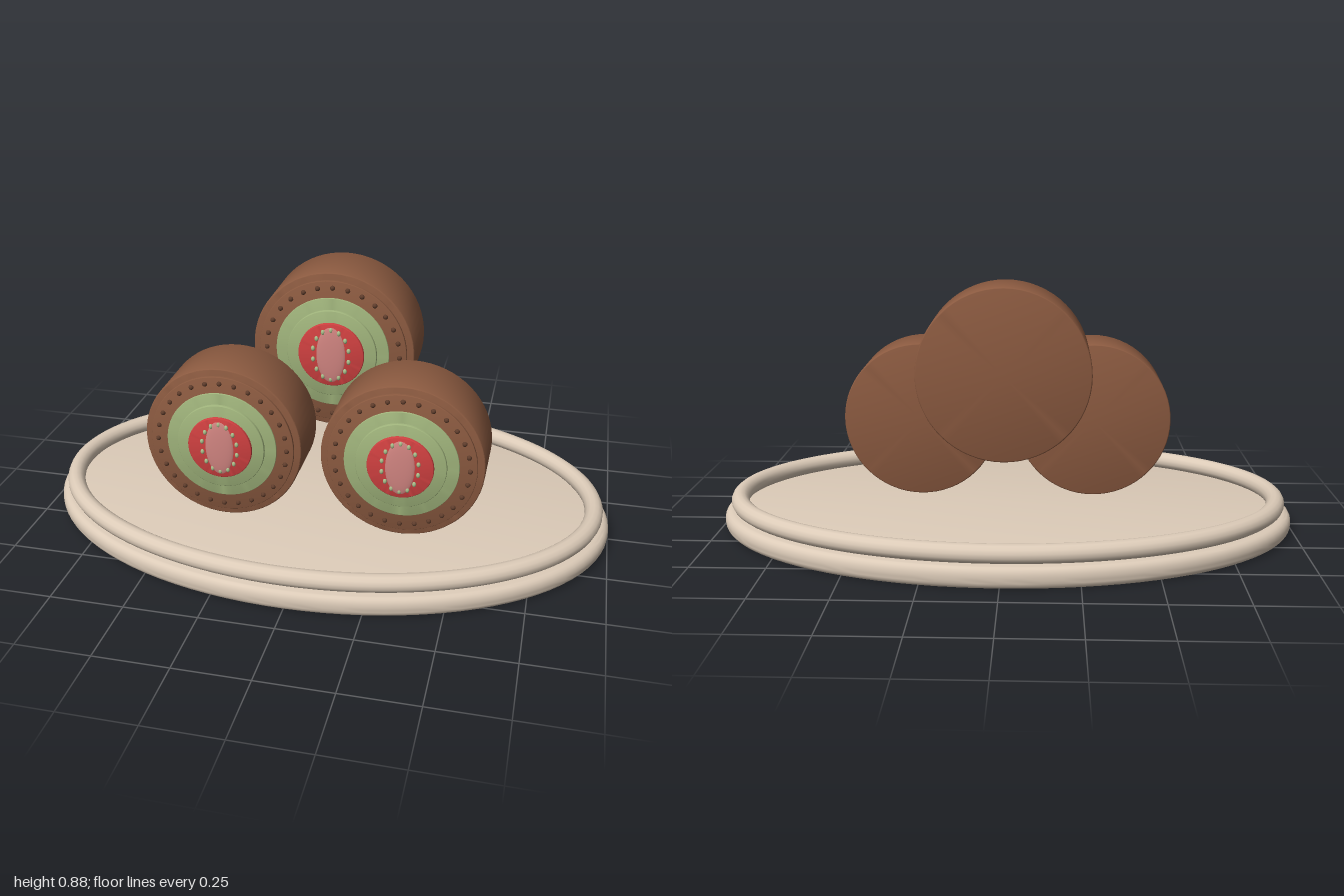
import * as THREE from 'three';
import { toCreasedNormals } from 'three/addons/utils/BufferGeometryUtils.js';

const mat = (name, color) => {
  const m = new THREE.MeshStandardMaterial({ color });
  m.name = name;
  return m;
};

export function createModel() {
  const model = new THREE.Group();
  const cream = mat('cream ceramic', 0xdccbb8);
  const brown = mat('brown wrap', 0x8b5a40);
  const darkBrown = mat('dark brown dots', 0x5f3d2c);
  const green = mat('soft green', 0x9fb37b);
  const red = mat('red', 0xcf4040);
  const pink = mat('pink', 0xd08480);
  const paleGreen = mat('pale green seeds', 0xa9bd8a);

  const add = (parent, name, geometry, material) => {
    const mesh = new THREE.Mesh(geometry, material);
    mesh.name = name;
    parent.add(mesh);
    return mesh;
  };

  // Solid disc with rounded rims, turned about y from y0 to y1
  const disc = (r, y0, y1, bevel, segments = 64) => {
    const pts = [new THREE.Vector2(0, y0)];
    for (const [cy, start] of [[y0 + bevel, -Math.PI / 2], [y1 - bevel, 0]])
      for (let i = 0; i <= 5; i++) {
        const a = start + (i / 5) * Math.PI / 2;
        pts.push(new THREE.Vector2(r - bevel + Math.cos(a) * bevel, cy + Math.sin(a) * bevel));
      }
    pts.push(new THREE.Vector2(0, y1));
    return toCreasedNormals(new THREE.LatheGeometry(pts, segments), 0.5);
  };

  // Oval platter: base and raised rim
  const platter = new THREE.Group();
  platter.name = 'platter';
  model.add(platter);
  add(platter, 'platterBase', disc(1, 0, 0.07, 0.03, 96), cream).scale.z = 0.66;
  const oval = [];
  for (let i = 0; i < 48; i++) {
    const a = (i / 48) * Math.PI * 2;
    oval.push(new THREE.Vector3(Math.cos(a) * 0.945, 0.1, Math.sin(a) * 0.61));
  }
  add(platter, 'platterRim',
    new THREE.TubeGeometry(new THREE.CatmullRomCurve3(oval, true), 128, 0.031, 14, true), cream);

  // Roll, facing +z with the front of the wrap at z = 0
  const faceDisc = (r, z0, z1, bevel) => disc(r, z0, z1, bevel).rotateX(Math.PI / 2);
  const wrapGeo = faceDisc(0.274, -0.221, 0, 0.006);
  const layers = [
    ['roundFace', faceDisc(0.25, -0.01, 0.01, 0.003), brown],
    ['outerGreenLayer', faceDisc(0.192, -0.01, 0.015, 0.002), green],
    ['innerGreenLayer', faceDisc(0.152, -0.01, 0.026, 0.003), green],
    ['redLayer', faceDisc(0.111, -0.01, 0.037, 0.003), red],
  ];
  const dotGeo = new THREE.SphereGeometry(0.0085, 10, 8);

  const makeRoll = (name, x, y, z, scale) => {
    const roll = new THREE.Group();
    roll.name = name;
    add(roll, 'wrap', wrapGeo, brown);
    for (const [n, g, m] of layers) add(roll, n, g, m);

    // Oval centre
    const core = add(roll, 'pinkCentre', new THREE.SphereGeometry(1, 32, 20), pink);
    core.scale.set(0.05, 0.1, 0.01);
    core.position.z = 0.035;

    // Ring of small dots on the wrap face
    for (let i = 0; i < 28; i++) {
      const a = (i / 28) * Math.PI * 2;
      add(roll, 'faceDot', dotGeo, darkBrown)
        .position.set(Math.cos(a) * 0.226, Math.sin(a) * 0.226, 0.01);
    }
    // Seeds around the centre
    for (let i = 0; i < 14; i++) {
      const a = ((i + 0.5) / 14) * Math.PI * 2;
      const seed = add(roll, 'seed', dotGeo, paleGreen);
      seed.position.set(Math.cos(a) * 0.062, Math.sin(a) * 0.088, 0.037);
      seed.scale.set(0.8, 1.1, 0.7);
    }
    roll.position.set(x, y, z);
    roll.scale.setScalar(scale);
    model.add(roll);
  };

  makeRoll('rightRoll', -0.307, 0.361, 0.264, 1);
  makeRoll('leftRoll', 0.307, 0.361, 0.264, 1);
  makeRoll('backRoll', 0, 0.589, -0.074, 1.05);
  return model;
}
